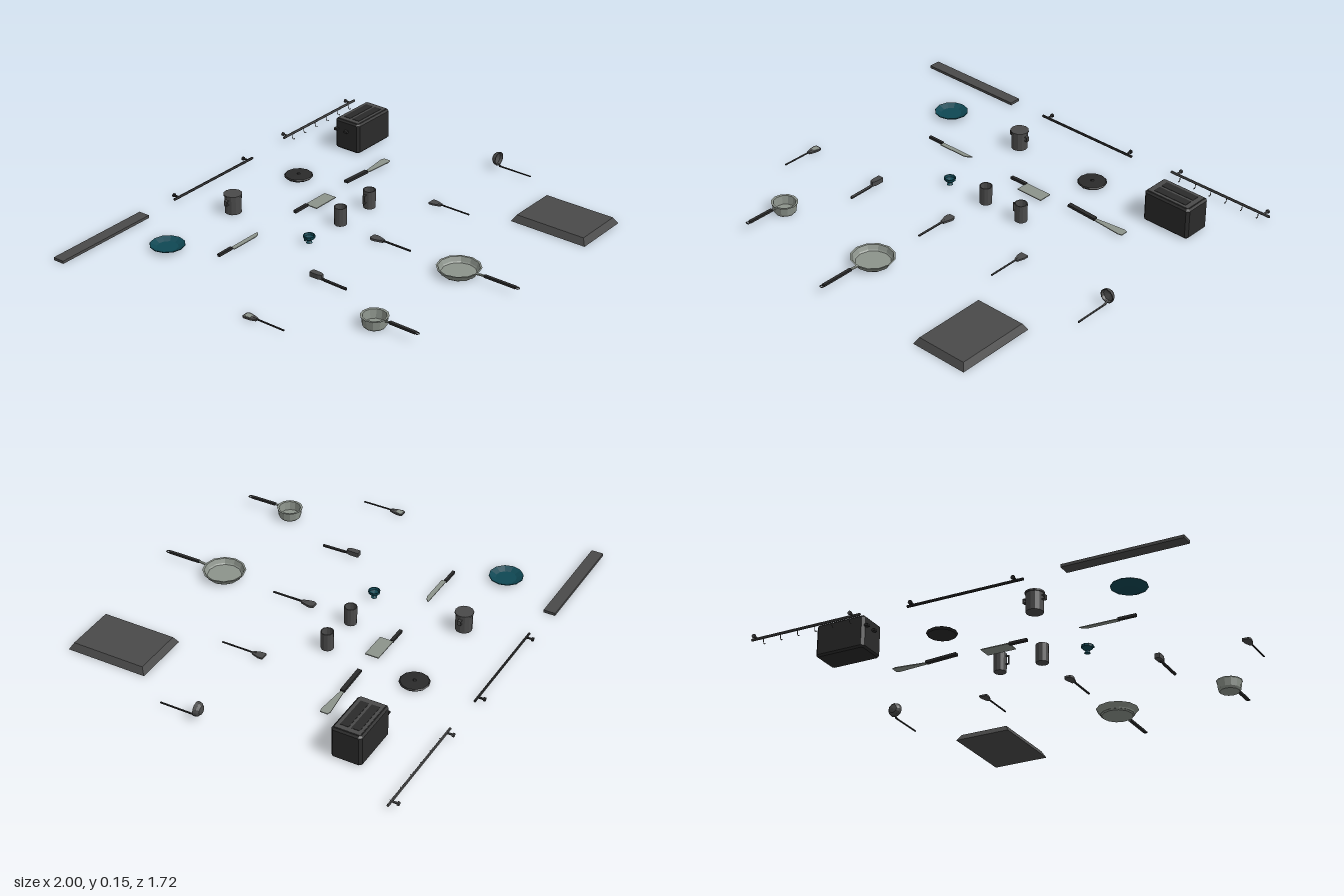
import * as THREE from 'three';

const mat = (name, color) => {
  const m = new THREE.MeshStandardMaterial({ color, flatShading: true, side: THREE.DoubleSide });
  m.name = name;
  return m;
};

export function createModel() {
  const root = new THREE.Group();
  root.name = 'kitchenSet';
  const dark = mat('darkPlastic', 0x2a2a2a);
  const grey = mat('greyMetal', 0x4a4a4a);
  const silver = mat('paleSteel', 0x8c938b);
  const teal = mat('tealGlaze', 0x0f4753);

  const add = (parent, name, geo, m, x = 0, y = 0, z = 0) => {
    const mesh = new THREE.Mesh(geo, m);
    mesh.name = name;
    mesh.position.set(x, y, z);
    parent.add(mesh);
    return mesh;
  };
  const group = (name, x = 0, z = 0) => {
    const g = new THREE.Group();
    g.name = name;
    g.position.set(x, 0, z);
    root.add(g);
    return g;
  };
  const box = (p, name, m, x0, x1, y0, y1, z0, z1) => add(p, name,
    new THREE.BoxGeometry(x1 - x0, y1 - y0, z1 - z0), m, (x0 + x1) / 2, (y0 + y1) / 2, (z0 + z1) / 2);
  const lathe = (p, name, m, pts, sides = 12) =>
    add(p, name, new THREE.LatheGeometry(pts.map(a => new THREE.Vector2(...a)), sides), m);
  // Flat plate from an [x, z] outline, extruded upward
  const slab = (p, name, m, pts, y0, h) => {
    const shape = new THREE.Shape(pts.map(([x, z]) => new THREE.Vector2(x, -z)));
    const geo = new THREE.ExtrudeGeometry(shape, { depth: h, bevelEnabled: false });
    return add(p, name, geo.rotateX(-Math.PI / 2), m, 0, y0, 0);
  };
  // Straight round bar between two points
  const rod = (p, name, m, a, b, r, sides = 6) => {
    const curve = new THREE.LineCurve3(new THREE.Vector3(...a), new THREE.Vector3(...b));
    const len = curve.getLength();
    const mesh = add(p, name, new THREE.CylinderGeometry(r, r, len, sides), m);
    mesh.position.copy(curve.getPoint(0.5));
    mesh.quaternion.setFromUnitVectors(new THREE.Vector3(0, 1, 0), curve.getTangent(0));
    return mesh;
  };
  // Outline mirrored about x = 0
  const mirrored = half => [...half, ...half.slice().reverse().map(([x, z]) => [-x, z])];

  // Wall shelf
  box(root, 'shelf', grey, -1, -0.475, 0, 0.013, -0.86, -0.805);

  // Wall rails, the second with hooks
  const rail = (name, x0, x1, y, m) => {
    const g = group(name);
    rod(g, 'bar', m, [x0, y, -0.822], [x1, y, -0.822], 0.006);
    for (const x of [x0 + 0.031, x1 - 0.031]) {
      rod(g, 'bracket', m, [x, y, -0.822], [x, y, -0.85], 0.005);
      rod(g, 'wallMount', m, [x, y, -0.848], [x, y, -0.856], 0.009, 8);
    }
    return g;
  };
  rail('plainRail', -0.292, 0.24, 0.01, dark);
  const hooks = rail('hookRail', 0.465, 1, 0.027, grey);
  for (let i = 0; i < 6; i++) {
    const x = 0.52 + i * 0.085;
    const path = new THREE.CatmullRomCurve3([[0.027, -0.816], [0.012, -0.815], [0.003, -0.809], [0.009, -0.802]]
      .map(([y, z]) => new THREE.Vector3(x, y, z)));
    add(hooks, 'hook', new THREE.TubeGeometry(path, 6, 0.002, 4), grey);
  }

  // Plate
  lathe(group('plate', -0.625, -0.555), 'plateBody', teal,
    [[0, 0], [0.045, 0], [0.078, 0.017], [0.077, 0.02], [0.047, 0.007], [0, 0.007]]);

  // Canister with lid and side handles
  const can = group('canister', -0.2, -0.555);
  lathe(can, 'canisterBody', grey, [[0, 0], [0.038, 0], [0.038, 0.082], [0.042, 0.083], [0.042, 0.09], [0, 0.09]]);
  for (const s of [-1, 1]) {
    for (const y of [0.05, 0.068]) box(can, 'handleStub', grey, s * 0.043 - 0.007, s * 0.043 + 0.007, y - 0.002, y + 0.002, -0.008, 0.008);
    box(can, 'handleGrip', grey, s * 0.049 - 0.002, s * 0.049 + 0.002, 0.048, 0.07, -0.008, 0.008);
  }

  // Round lid
  lathe(group('roundLid', 0.24, -0.545), 'lidBody', dark,
    [[0, 0], [0.06, 0], [0.067, 0.008], [0.062, 0.012], [0.008, 0.014], [0.006, 0.018], [0, 0.018]]);

  // Toaster
  const toaster = group('toaster', 0.705, -0.54);
  const face = new THREE.Shape();
  const [w, d, c] = [0.12, 0.07, 0.012];
  face.setFromPoints([[-w + c, -d], [w - c, -d], [w, -d + c], [w, d - c], [w - c, d], [-w + c, d], [-w, d - c], [-w, -d + c]]
    .map(p => new THREE.Vector2(...p)));
  add(toaster, 'toasterBody', new THREE.ExtrudeGeometry(face, {
    depth: 0.132, bevelThickness: 0.008, bevelSize: 0.008, bevelOffset: -0.008, bevelSegments: 1,
  }).rotateX(-Math.PI / 2), dark, 0, 0.008, 0);
  box(toaster, 'topPanel', grey, -0.108, 0.108, 0.147, 0.15, -0.058, 0.058);
  for (const z of [-0.025, 0.025]) box(toaster, 'slot', dark, -0.085, 0.085, 0.149, 0.1515, z - 0.019, z + 0.019);
  for (const z of [-0.055, 0.002]) box(toaster, 'lever', dark, -0.135, -0.118, 0.095, 0.105, z - 0.009, z + 0.009);

  // Chef knife
  const knife = group('knife');
  box(knife, 'knifeHandle', dark, -0.55, -0.467, 0, 0.012, -0.339, -0.326);
  slab(knife, 'knifeBlade', silver, [[-0.467, -0.337], [-0.29, -0.337], [-0.305, -0.322], [-0.325, -0.315], [-0.467, -0.315]], 0.004, 0.004);

  // Cleaver
  const cleaver = group('cleaver');
  box(cleaver, 'cleaverHandle', dark, -0.046, 0.04, 0, 0.012, -0.339, -0.324);
  box(cleaver, 'cleaverBlade', silver, 0.038, 0.173, 0.004, 0.008, -0.339, -0.275);

  // Slanted turner
  const turner = group('turner');
  const grip = box(turner, 'turnerHandle', dark, 0.3, 0.45, 0.011, 0.023, -0.328, -0.308);
  grip.rotation.z = -0.05;
  slab(turner, 'turnerBlade', silver, [[0.44, -0.325], [0.46, -0.327], [0.59, -0.342], [0.608, -0.337],
    [0.608, -0.302], [0.59, -0.298], [0.46, -0.309], [0.44, -0.312]], 0.008, 0.004);

  // Egg cup, tumbler and mug
  lathe(group('eggCup', -0.215, -0.11), 'eggCupBody', teal,
    [[0, 0], [0.014, 0], [0.008, 0.01], [0.026, 0.024], [0.027, 0.036], [0.023, 0.036], [0.02, 0.026], [0, 0.018]], 10);
  const cup = (name, x) => {
    const g = group(name, x, -0.11);
    lathe(g, 'cupBody', grey, [[0, 0], [0.028, 0], [0.029, 0.086], [0.025, 0.086], [0.024, 0.008], [0, 0.008]]);
    return g;
  };
  cup('tumbler', 0);
  const mug = cup('mug', 0.205);
  box(mug, 'handleSide', grey, -0.044, -0.04, 0.03, 0.072, -0.004, 0.004);
  for (const y of [0.032, 0.07]) box(mug, 'handleArm', grey, -0.042, -0.026, y - 0.002, y + 0.002, -0.004, 0.004);
  box(root, 'eggCupHandle', teal, -0.246, -0.238, 0.02, 0.027, -0.114, -0.106);

  // Long-handled utensils
  const utensil = (name, x, half, headY, headH, r, zEnd) => {
    const g = group(name, x);
    if (half) slab(g, 'head', grey, mirrored(half), headY, headH);
    rod(g, 'stem', dark, [0, 0.01, 0.125], [0, 0.01, zEnd], r);
    return g;
  };
  const spoon = utensil('servingSpoon', -0.855, [[0.015, 0.08], [0.02, 0.092], [0.017, 0.118], [0.008, 0.145]], 0.004, 0.008, 0.004, 0.285);
  slab(spoon, 'spoonHollow', silver, mirrored([[0.01, 0.087], [0.013, 0.096], [0.011, 0.115]]), 0.011, 0.002);
  const mallet = utensil('mallet', -0.445, [[0.012, 0.09], [0.014, 0.097], [0.013, 0.135], [0.007, 0.15]], 0.012, 0.022, 0.004, 0.2);
  rod(mallet, 'thickGrip', dark, [0, 0.012, 0.16], [0, 0.01, 0.275], 0.007);
  rod(mallet, 'neck', dark, [0, 0.02, 0.135], [0, 0.012, 0.17], 0.005);
  utensil('woodSpoon', -0.022, [[0.014, 0.08], [0.02, 0.093], [0.019, 0.108], [0.008, 0.145]], 0.004, 0.01, 0.005, 0.288);
  utensil('scraper', 0.4, [[0.019, 0.085], [0.019, 0.108], [0.008, 0.142]], 0.004, 0.008, 0.004, 0.292);

  // Ladle with upright bowl opening forward
  const ladle = utensil('ladle', 0.875, null, 0, 0, 0.004, 0.297);
  const bowl = lathe(ladle, 'ladleBowl', grey,
    [[0, 0], [0.02, 0.003], [0.03, 0.014], [0.033, 0.028], [0.029, 0.028], [0.026, 0.016], [0, 0.006]]);
  bowl.rotation.x = Math.PI / 2;
  bowl.position.set(0, 0.046, 0.094);
  rod(ladle, 'ladleNeck', dark, [0, 0.018, 0.115], [0, 0.01, 0.14], 0.004);

  // Cooking pans with looped handles
  const pan = (name, x, z, profile, handleY, neckStart, gripStart, end, neckW) => {
    const g = group(name, x, z);
    lathe(g, 'panBody', silver, profile);
    rod(g, 'handleNeck', silver, [0, handleY - 0.004, neckStart], [0, handleY, gripStart], neckW);
    box(g, 'handleGrip', dark, -0.007, 0.007, handleY - 0.005, handleY + 0.005, gripStart, end - 0.018);
    const ring = add(g, 'hangingLoop', new THREE.TorusGeometry(0.008, 0.003, 4, 8), dark, 0, handleY, end - 0.011);
    ring.rotation.x = Math.PI / 2;
  };
  pan('saucepan', -0.59, 0.535, [[0, 0], [0.045, 0], [0.052, 0.01], [0.056, 0.045], [0.06, 0.05],
    [0.05, 0.049], [0.045, 0.008], [0, 0.008]], 0.043, 0.05, 0.075, 0.222, 0.005);
  pan('fryingPan', -0.035, 0.55, [[0, 0], [0.072, 0], [0.093, 0.026], [0.098, 0.032], [0.09, 0.031],
    [0.079, 0.006], [0, 0.006]], 0.031, 0.088, 0.13, 0.305, 0.006);

  // Bevelled board
  const board = new THREE.BoxGeometry(0.272, 0.03, 0.38);
  const pos = board.attributes.position;
  for (let i = 0; i < pos.count; i++) {
    if (pos.getY(i) > 0) pos.setXYZ(i, pos.getX(i) * 0.87, 0.015, pos.getZ(i) * 0.905);
  }
  add(root, 'board', board, grey, 0.616, 0.015, 0.65);

  return root;
}
